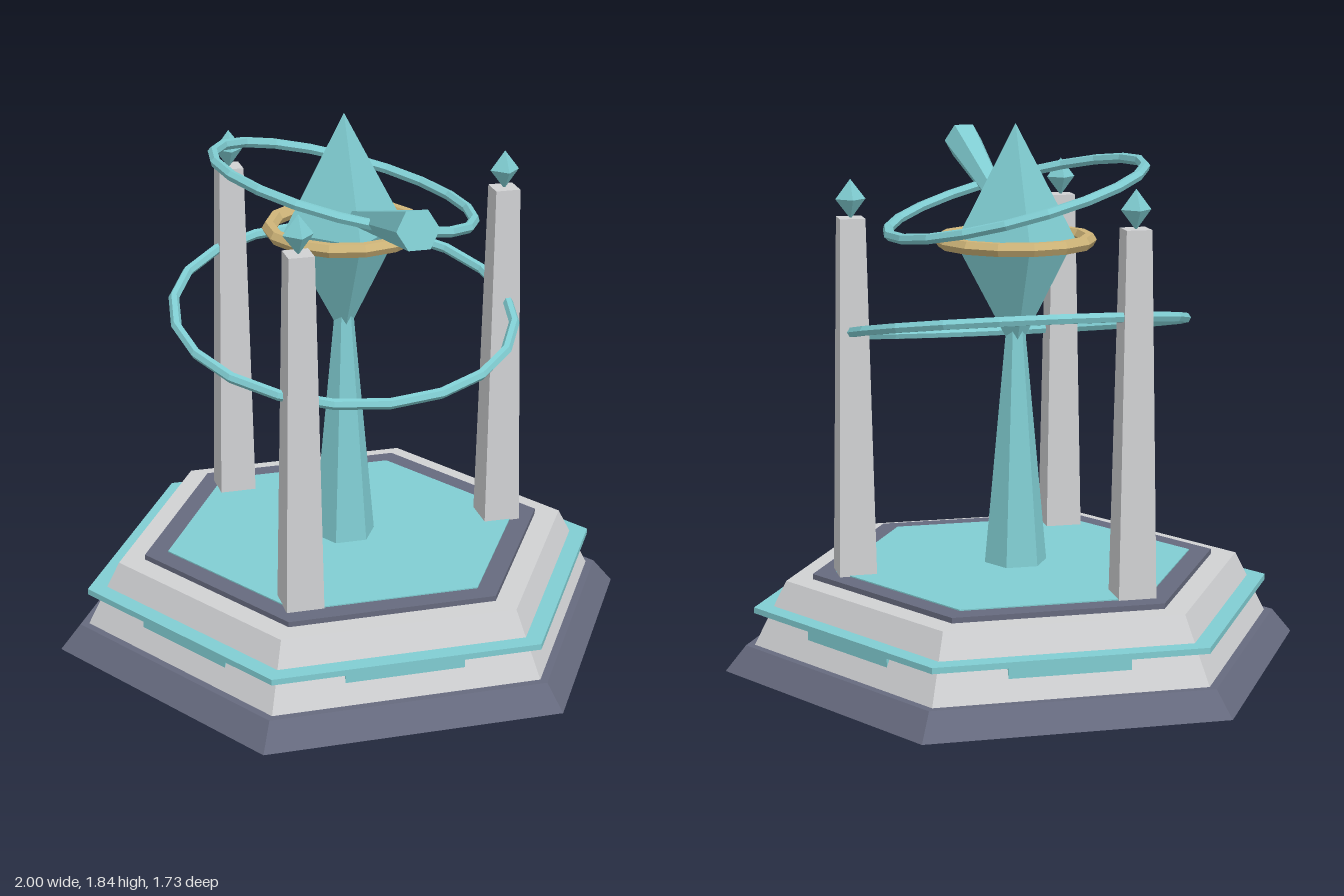
import * as THREE from 'three';

const material = (name, color) => {
  const m = new THREE.MeshStandardMaterial({ color, flatShading: true });
  m.name = name;
  return m;
};

export function createModel() {
  const teal = material('teal', 0x80cdd2);
  const stone = material('pale stone', 0xd0d1d3);
  const slate = material('slate', 0x666a7e);
  const gold = material('gold', 0xcfb579);
  const model = new THREE.Group();
  model.name = 'observatory';

  const add = (name, geometry, mat, x = 0, y = 0, z = 0, parent = model) => {
    const mesh = new THREE.Mesh(geometry, mat);
    mesh.name = name;
    mesh.position.set(x, y, z);
    parent.add(mesh);
    return mesh;
  };

  // Tapered prism between two heights; six-sided ones point along x
  const prism = (name, mat, rBottom, rTop, y0, y1) =>
    add(name, new THREE.CylinderGeometry(rTop, rBottom, y1 - y0, 6, 1, false, Math.PI / 6), mat, 0, (y0 + y1) / 2);

  // Double pyramid with its corners on the axes
  const crystal = (name, radius, halfHeight, x, y, z, parent) =>
    add(name, new THREE.OctahedronGeometry(1).scale(radius, halfHeight, radius), teal, x, y, z, parent);

  // Stepped hexagonal base
  prism('footing', slate, 1, 0.93, 0.025, 0.11);
  prism('plinth', stone, 0.9, 0.79, 0.11, 0.325);
  prism('plinthRim', teal, 0.9, 0.9, 0.22, 0.24);
  prism('floorBorder', slate, 0.7, 0.7, 0.325, 0.343);
  prism('floor', teal, 0.62, 0.62, 0.335, 0.347);

  // Upright glowing slats set into each side of the base
  for (let i = 0; i < 6; i++) {
    const a = i * Math.PI / 3;
    const slat = add('baseSlat', new THREE.BoxGeometry(0.4, 0.22, 0.02), teal,
      0.74 * Math.sin(a), 0.11, 0.74 * Math.cos(a));
    slat.rotation.y = a;
  }

  // Three obelisks with crystal finials
  for (let i = 0; i < 3; i++) {
    const a = i * Math.PI * 2 / 3;
    const pillar = new THREE.Group();
    pillar.name = 'pillar';
    pillar.position.set(0.555 * Math.cos(a), 0, 0.555 * Math.sin(a));
    const shaft = new THREE.CylinderGeometry(0.042 * Math.SQRT2, 0.063 * Math.SQRT2, 1.2, 4, 1, false, Math.PI / 4);
    add('pillarShaft', shaft, stone, 0, 0.943, 0, pillar);
    crystal('pillarFinial', 0.05, 0.066, 0, 1.604, 0, pillar);
    model.add(pillar);
  }

  // Central column and the large crystal it carries
  prism('column', teal, 0.108, 0.032, 0.345, 1.16);
  crystal('mainCrystal', 0.205, 0.39, 0, 1.45, 0);

  // Rings around the crystal, laid flat and then tilted
  const ring = (name, mat, radius, tube, sides, y, tiltX, tiltZ) => {
    const geometry = new THREE.TorusGeometry(radius, tube, 6, sides).rotateX(Math.PI / 2);
    const mesh = add(name, geometry, mat, 0, y, 0);
    mesh.rotation.set(tiltX, 0, tiltZ);
    return mesh;
  };
  ring('crystalCollar', gold, 0.246, 0.025, 14, 1.452, 0, 0).rotation.y = Math.PI / 2;
  ring('lowerOrbit', teal, 0.57, 0.018, 20, 1.16, 0.205, 0);
  ring('upperOrbit', teal, 0.442, 0.018, 20, 1.593, 0, -0.26);

  // Telescope rising towards the front
  const start = new THREE.Vector3(0, 1.53, 0.15);
  const end = new THREE.Vector3(0, 1.705, 0.83);
  const axis = end.clone().sub(start);
  const tube = new THREE.CylinderGeometry(0.068, 0.026, axis.length(), 6, 1, false, Math.PI / 6);
  const telescope = add('telescope', tube, teal);
  telescope.position.copy(start).lerp(end, 0.5);
  telescope.rotation.x = Math.atan2(axis.z, axis.y);

  return model;
}
